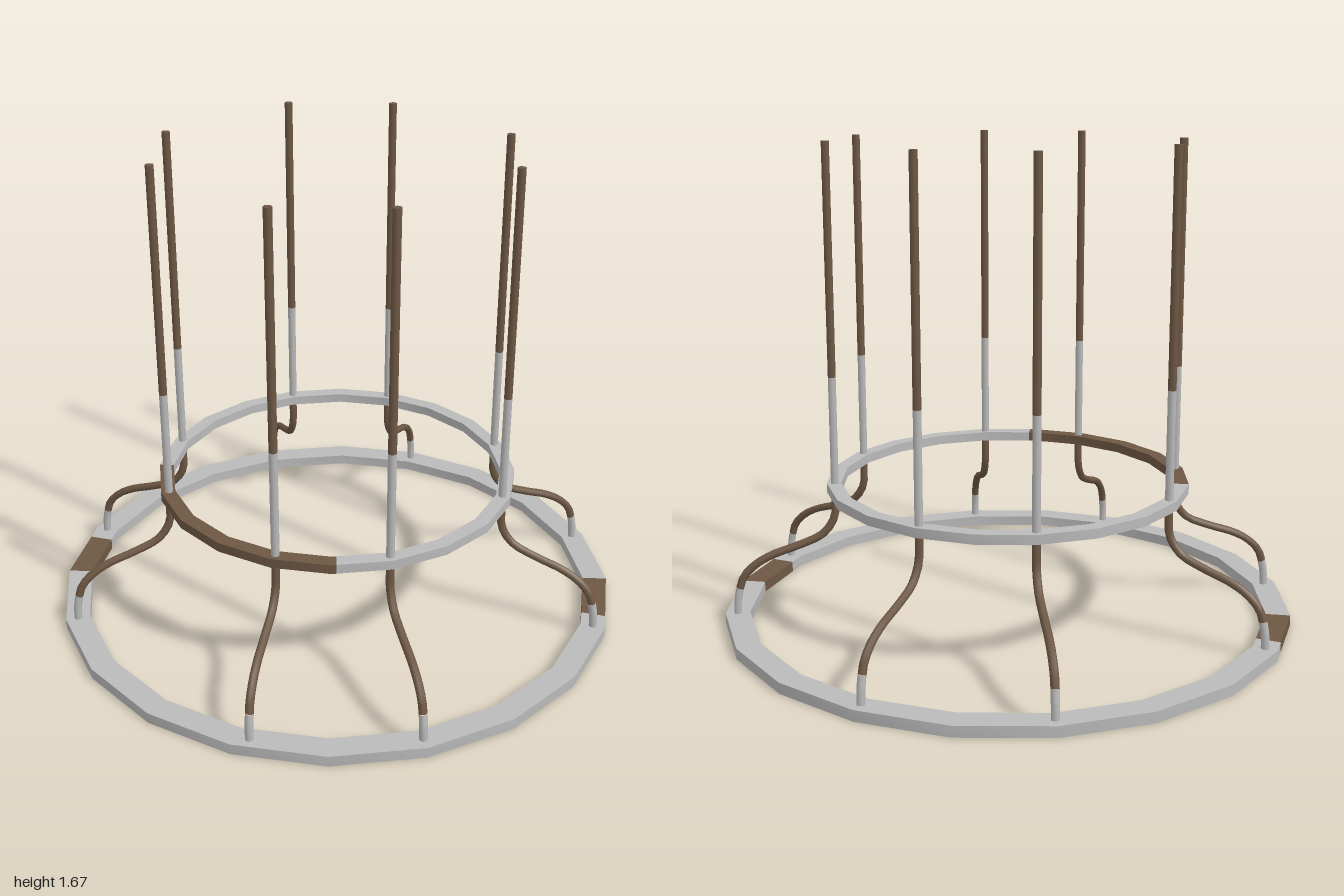
import * as THREE from 'three';
import { toCreasedNormals } from 'three/addons/utils/BufferGeometryUtils.js';

const STEP = Math.PI / 10; // the rings have 20 sides

const grey = new THREE.MeshStandardMaterial({ color: 0xbababa });
grey.name = 'light grey';
const brown = new THREE.MeshStandardMaterial({ color: 0x6e5844 });
brown.name = 'brown';

// Point on a 20-sided outline; u counts sides from +x towards +z
function ringPoint(r, u) {
  const i = Math.floor(u), f = u - i;
  const corner = (k) => new THREE.Vector2(r * Math.cos(k * STEP), -r * Math.sin(k * STEP));
  return corner(i).lerp(corner(i + 1), f);
}

// Flat stretch of ring between u0 and u1
function ringPart(name, material, rOut, rIn, y, height, u0, u1) {
  const us = [u0];
  for (let k = Math.floor(u0) + 1; k < u1; k++) us.push(k);
  us.push(u1);
  const outer = us.map((u) => ringPoint(rOut, u));
  const inner = us.map((u) => ringPoint(rIn, u)).reverse();
  const geometry = new THREE.ExtrudeGeometry(new THREE.Shape([...outer, ...inner]), { depth: height, bevelEnabled: false });
  geometry.rotateX(-Math.PI / 2).translate(0, y, 0);
  const mesh = new THREE.Mesh(toCreasedNormals(geometry, 0.6), material);
  mesh.name = name;
  return mesh;
}

// Bent lower pipe as radius and height, from the outer ring up to the inner ring
const FOOT = [[0.957, 0.03], [0.954, 0.09], [0.946, 0.13]];
const BEND = [[0.946, 0.13], [0.932, 0.17], [0.889, 0.214], [0.831, 0.246], [0.736, 0.278],
  [0.652, 0.316], [0.612, 0.374], [0.607, 0.43], [0.607, 0.485]];
const ROD = 0.014;

// One rod: grey foot, brown bend, grey sleeve and brown upright
function makeRod(topAngle, footAngle) {
  const rod = new THREE.Group();
  rod.name = 'rod';
  const place = ([r, y]) => {
    const a = THREE.MathUtils.mapLinear(r, 0.607, 0.957, topAngle, footAngle);
    return new THREE.Vector3(r * Math.cos(a), y, r * Math.sin(a));
  };
  const pipe = (name, points, segments, material) => {
    const curve = new THREE.CatmullRomCurve3(points.map(place));
    const mesh = new THREE.Mesh(new THREE.TubeGeometry(curve, segments, ROD, 8), material);
    mesh.name = name;
    rod.add(mesh);
  };
  const upright = (name, y0, y1, material) => {
    const mesh = new THREE.Mesh(new THREE.CylinderGeometry(ROD, ROD, y1 - y0, 8), material);
    mesh.position.copy(place([0.607, (y0 + y1) / 2]));
    mesh.name = name;
    rod.add(mesh);
  };
  pipe('rodFoot', FOOT, 4, grey);
  pipe('rodBend', BEND, 18, brown);
  upright('rodSleeve', 0.485, 0.874, grey);
  upright('rodUpright', 0.874, 1.67, brown);
  return rod;
}

export function createModel() {
  const model = new THREE.Group();
  model.name = 'ringStand';

  // Outer base ring with two brown patches
  const base = (name, mat, u0, u1) => model.add(ringPart(name, mat, 1, 0.915, 0, 0.038, u0, u1));
  base('baseRingPatchLeft', brown, 0, 0.77);
  base('baseRingFront', grey, 0.77, 10);
  base('baseRingPatchRight', brown, 10, 10.77);
  base('baseRingBack', grey, 10.77, 20);

  // Raised inner ring, brown over its front right quarter
  const upper = (name, mat, u0, u1) => model.add(ringPart(name, mat, 0.635, 0.585, 0.465, 0.033, u0, u1));
  upper('upperRingBrown', brown, 4.92, 10);
  upper('upperRingGrey', grey, 10, 24.92);

  // Eight rods; the front right one is turned slightly towards the middle
  for (const k of [1, 4, 6, 9, 11, 14, 16, 19]) {
    const a = k * STEP;
    model.add(k === 6 ? makeRod(a - 0.01, a - 0.05) : makeRod(a, a));
  }
  return model;
}
